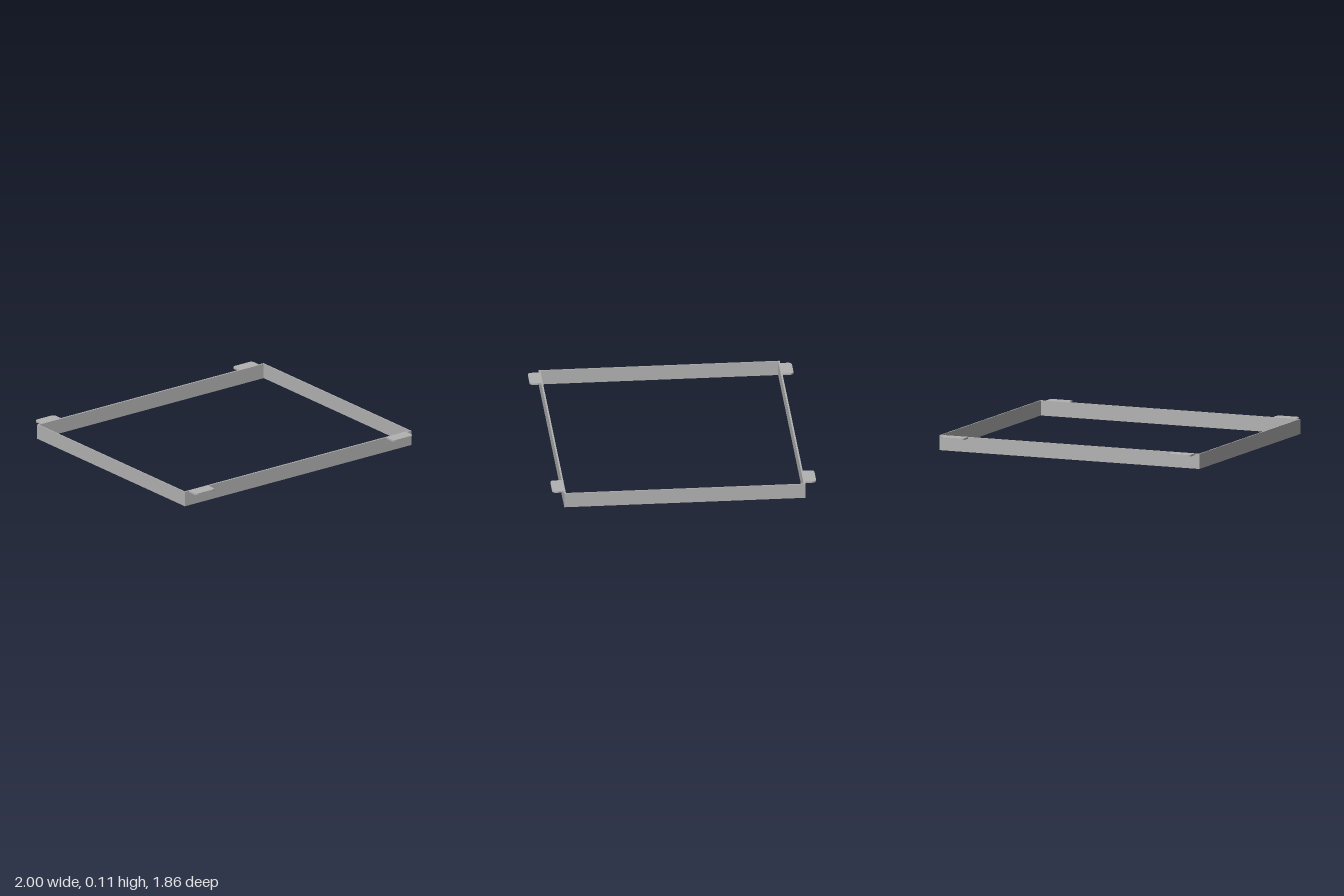
import * as THREE from 'three';

const HEIGHT = 0.107, HALF_X = 1, HALF_Z = 0.848, TAB_THICK = 0.012;

// Extrude a plan outline (x, z) upward from height y
function slab(shape, y, depth, material, name) {
  const geometry = new THREE.ExtrudeGeometry(shape, { depth, bevelEnabled: false, curveSegments: 6 });
  geometry.rotateX(-Math.PI / 2);
  const mesh = new THREE.Mesh(geometry, material);
  mesh.position.y = y;
  mesh.name = name;
  return mesh;
}

function rectangle(target, hx, hz) {
  target.moveTo(-hx, -hz);
  target.lineTo(hx, -hz);
  target.lineTo(hx, hz);
  target.lineTo(-hx, hz);
  target.closePath();
  return target;
}

// Flat tab with its two outer corners rounded
function tabShape(x0, x1, z0, z1, r) {
  const s = new THREE.Shape();
  s.moveTo(x0, z0);
  s.lineTo(x1, z0);
  s.lineTo(x1, z1 - r);
  s.absarc(x1 - r, z1 - r, r, 0, Math.PI / 2, false);
  s.lineTo(x0 + r, z1);
  s.absarc(x0 + r, z1 - r, r, Math.PI / 2, Math.PI, false);
  s.closePath();
  return s;
}

export function createModel() {
  const group = new THREE.Group();
  group.name = 'mountingFrame';
  const metal = new THREE.MeshStandardMaterial({ color: 0xb2b2b2 });
  metal.name = 'grey metal';

  // Thin-walled open frame
  const outline = rectangle(new THREE.Shape(), HALF_X, HALF_Z);
  outline.holes.push(rectangle(new THREE.Path(), HALF_X - 0.008, HALF_Z - 0.012));
  group.add(slab(outline, 0, HEIGHT, metal, 'frame'));

  // Two tabs along the front and two along the back, flush with the top
  for (const [end, turn] of [['back', 0], ['front', Math.PI]]) {
    for (const [side, x0, x1] of [['Left', 0.782, 0.959], ['Right', -0.963, -0.791]]) {
      const [a, b] = turn ? [-x1, -x0] : [x0, x1];
      const tab = slab(tabShape(a, b, HALF_Z, 0.928, 0.025),
        HEIGHT - TAB_THICK, TAB_THICK, metal, end + side + 'Tab');
      tab.rotation.y = turn;
      group.add(tab);
    }
  }
  return group;
}
